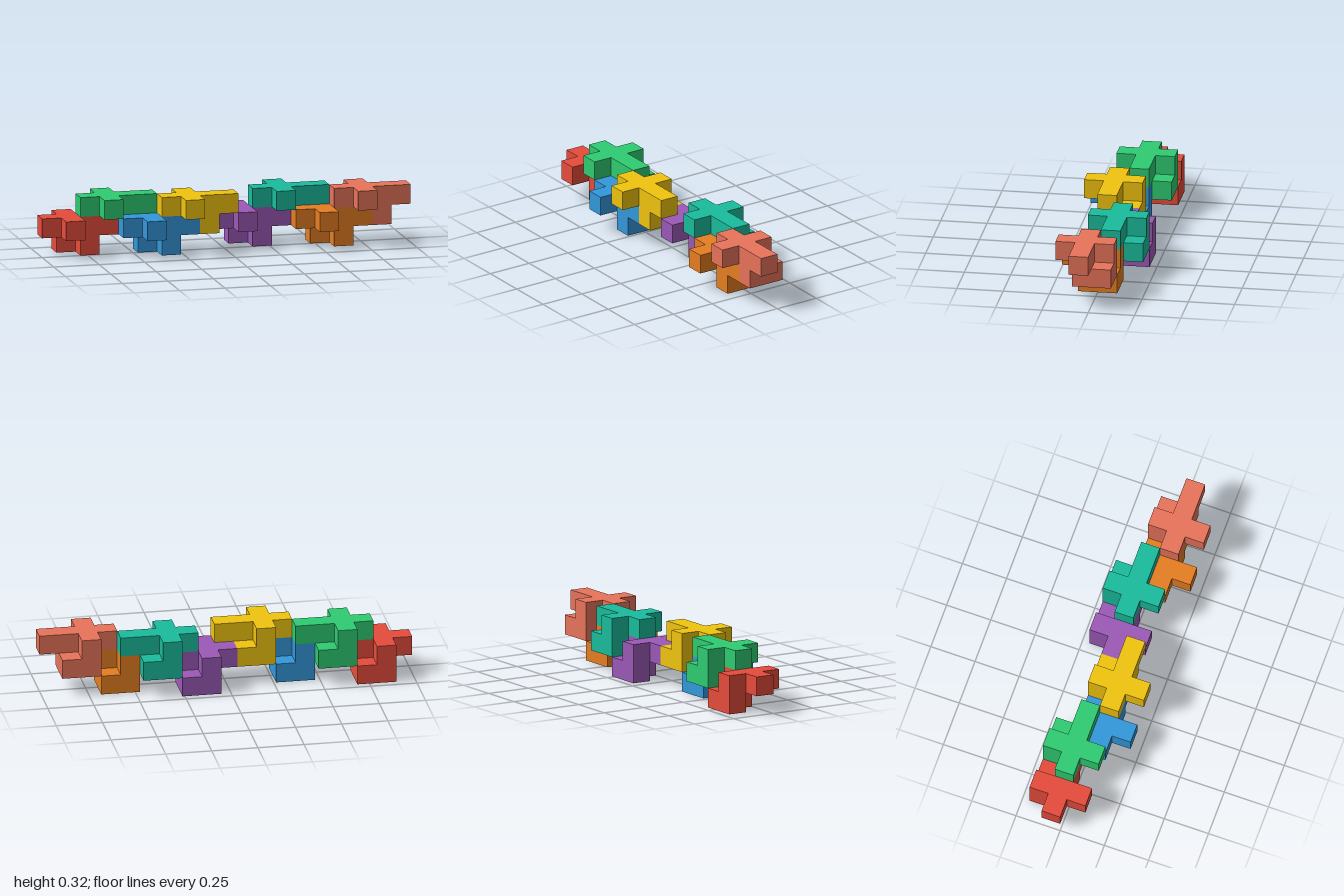
import * as THREE from 'three';
import { mergeGeometries } from 'three/addons/utils/BufferGeometryUtils.js';

const U = 2 / 19; // edge of one cube

// Cubes of one puzzle piece, relative to the start of its four-cube bar
const CELLS = [
  [0, 0, 0], [1, 0, 0], [2, 0, 0], [3, 0, 0],  // bar
  [1, 0, 1], [1, 0, -1],                       // cross arms
  [1, -1, -1], [2, -1, -1], [2, -1, 0],        // hook looping back under the bar
];

// Name, colour and grid position (x, y, z) of each interlocking piece
const PIECES = [
  ['redPiece', 0xe74c3c, 0, 1, 1],
  ['greenPiece', 0x2ecc71, 2, 2, 1],
  ['bluePiece', 0x3498db, 4, 1, 2],
  ['yellowPiece', 0xf1c40f, 6, 2, 2],
  ['purplePiece', 0x9b59b6, 9, 1, 1],
  ['tealPiece', 0x1abc9c, 11, 2, 1],
  ['orangePiece', 0xe67e22, 13, 1, 2],
  ['salmonPiece', 0xe8735a, 15, 2, 2],
];

// Outward directions with the turns that aim a +z plane along them
const SIDES = [
  [[0, 0, 1], 0, 0], [[0, 0, -1], 0, Math.PI],
  [[1, 0, 0], 0, Math.PI / 2], [[-1, 0, 0], 0, -Math.PI / 2],
  [[0, 1, 0], -Math.PI / 2, 0], [[0, -1, 0], Math.PI / 2, 0],
];

// Outer skin of the piece: a square wherever a cube has no neighbour
function pieceGeometry() {
  const filled = new Set(CELLS.map(String));
  const faces = [];
  for (const cell of CELLS) {
    for (const [dir, turnX, turnY] of SIDES) {
      if (filled.has(String(cell.map((c, n) => c + dir[n])))) continue;
      const centre = cell.map((c, n) => (c + 0.5 + dir[n] / 2) * U);
      faces.push(new THREE.PlaneGeometry(U, U).rotateX(turnX).rotateY(turnY).translate(...centre));
    }
  }
  return mergeGeometries(faces);
}

export function createModel() {
  const model = new THREE.Group();
  model.name = 'interlockingCubePuzzle';
  const geometry = pieceGeometry();
  for (const [name, color, i, j, k] of PIECES) {
    const piece = new THREE.Mesh(geometry, new THREE.MeshStandardMaterial({ color }));
    piece.name = name;
    piece.position.set(i * U - 1, j * U, (k - 2) * U);
    model.add(piece);
  }
  return model;
}
